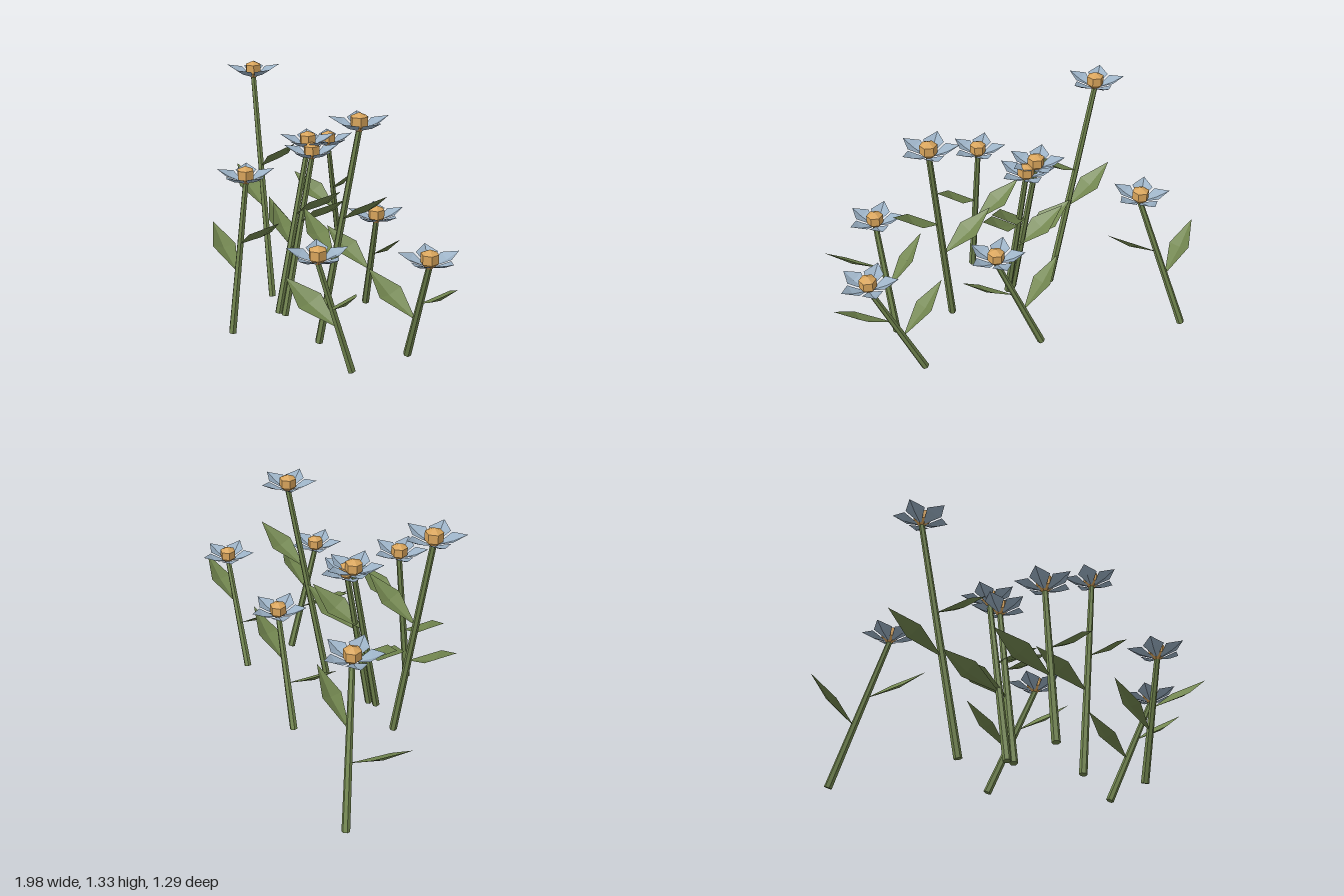
import * as THREE from 'three';

const V = (x, y, z) => new THREE.Vector3(x, y, z);

// Non-indexed, faceted geometry from a list of triangles
function facets(tris) {
  const g = new THREE.BufferGeometry().setFromPoints(tris.flat());
  g.computeVertexNormals();
  return g;
}

// Four-facet folded blade: two side points and a sunken middle between base and tip
const blade = (base, mid, a, b, tip) => [[base, mid, a], [base, b, mid], [mid, tip, a], [mid, b, tip]];

function petalsGeometry() {
  const tris = [];
  for (let i = 0; i < 5; i++) {
    const t = (i * 2 * Math.PI) / 5 - 0.02;
    const p = (r, da, y) => V(r * Math.cos(t + da), y, r * Math.sin(t + da));
    tris.push(...blade(p(0.01, 0, -0.038), p(0.09, 0, -0.012), p(0.1, -0.56, 0.006),
      p(0.1, 0.56, 0.006), p(0.152, 0, 0.022)));
  }
  return facets(tris);
}

// Leaf pointing to one side, tilted with the stem's lean in z
function leafGeometry(side, slope) {
  const tip = V(side * 0.295, 0.19, 0.32 * slope);
  const centre = tip.clone().multiplyScalar(0.53);
  const across = V(0, -slope, 1).normalize().multiplyScalar(0.07);
  const a = centre.clone().sub(across), b = centre.clone().add(across);
  const mid = centre.clone().add(V(side * 0.008, -0.018, 0));
  return facets(side > 0 ? blade(V(0, 0, 0), mid, a, b, tip) : blade(V(0, 0, 0), mid, b, a, tip));
}

export function createModel() {
  const mat = (name, color, extra = {}) =>
    Object.assign(new THREE.MeshStandardMaterial({ color, flatShading: true, ...extra }), { name });
  const green = mat('stemGreen', 0x72864f);
  const leafGreen = mat('leafGreen', 0x72864f, { side: THREE.DoubleSide });
  const blue = mat('petalBlue', 0x9ab0c4, { side: THREE.DoubleSide });
  const amber = mat('centreAmber', 0xd9a55c);

  const petals = petalsGeometry();
  const bead = new THREE.LatheGeometry(
    [[0, -0.055], [0.044, -0.015], [0.044, 0.03], [0, 0.05]].map(([r, y]) => new THREE.Vector2(r, y)), 6);

  // Stem foot x, z, then flower head x, y, z
  const flowers = [
    [-0.45, 0.12, -0.67, 1.275, 0.06],
    [-0.77, -0.63, -0.59, 0.82, -0.40],
    [-0.245, 0.22, -0.23, 0.963, 0.02],
    [-0.2, 0.21, -0.175, 0.917, 0.035],
    [-0.2, 0.55, -0.18, 0.862, 0.45],
    [-0.06, -0.25, 0.16, 0.618, -0.13],
    [0.17, 0.26, 0.35, 1.195, 0.15],
    [0.51, 0.32, 0.48, 0.652, 0.50],
    [0.55, -0.01, 0.79, 0.625, 0.09],
  ];

  const model = new THREE.Group();
  model.name = 'flowerPatch';
  for (const [fx, fz, hx, hy, hz] of flowers) {
    const flower = new THREE.Group();
    flower.name = 'flower';
    model.add(flower);
    const add = (name, geo, material, pos) => {
      const m = new THREE.Mesh(geo, material);
      m.name = name;
      m.position.copy(pos);
      flower.add(m);
      return m;
    };

    // Leaning stem
    const foot = V(fx, 0.007, fz), top = V(hx, hy - 0.035, hz);
    const along = top.clone().sub(foot);
    const stem = add('stem', new THREE.CylinderGeometry(0.015, 0.021, along.length(), 6), green,
      foot.clone().lerp(top, 0.5));
    stem.quaternion.setFromUnitVectors(V(0, 1, 0), along.clone().normalize());

    // Flower head
    add('petals', petals, blue, V(hx, hy, hz));
    add('flowerCentre', bead, amber, V(hx, hy, hz));

    // Lower leaf to the right, upper leaf to the left
    const slope = along.z / along.y;
    add('rightLeaf', leafGeometry(-1, slope), leafGreen, foot.clone().lerp(top, 0.41));
    add('leftLeaf', leafGeometry(1, slope), leafGreen, foot.clone().lerp(top, 0.6));
  }
  return model;
}
